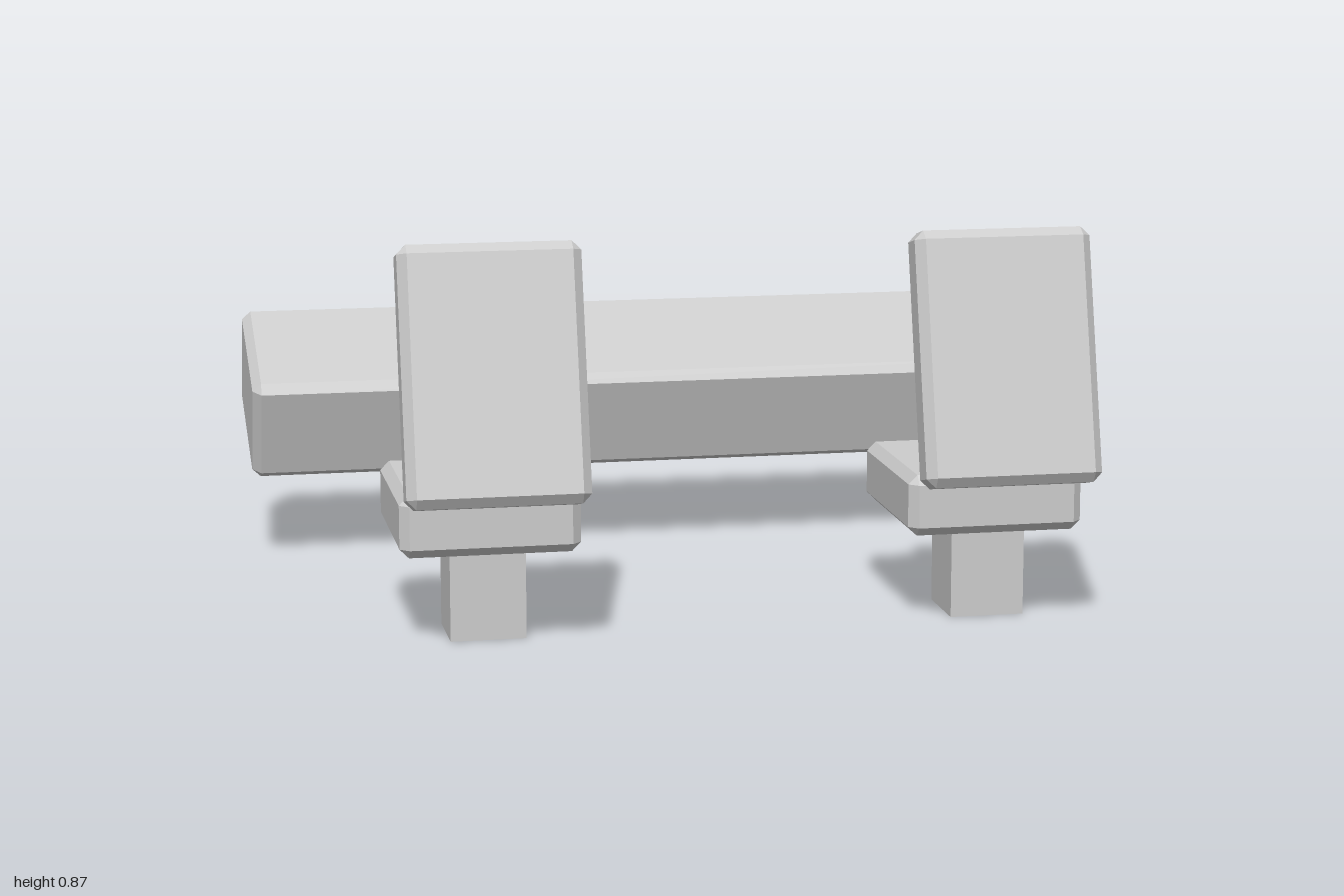
import * as THREE from 'three';
import { ConvexGeometry } from 'three/addons/geometries/ConvexGeometry.js';

// Box with all edges cut by a flat chamfer
function chamferBox(w, h, d, c) {
  const points = [];
  for (const x of [-1, 1]) for (const y of [-1, 1]) for (const z of [-1, 1]) {
    for (const [a, b, e] of [[0, c, c], [c, 0, c], [c, c, 0]]) {
      points.push(new THREE.Vector3(x * (w / 2 - a), y * (h / 2 - b), z * (d / 2 - e)));
    }
  }
  return new ConvexGeometry(points);
}

export function createModel() {
  const model = new THREE.Group();
  model.name = 'consoleWithSeats';
  const grey = new THREE.MeshStandardMaterial({ color: 0xcccccc });
  grey.name = 'light grey';

  function add(parent, name, geometry, x, y, z, tilt = 0) {
    const mesh = new THREE.Mesh(geometry, grey);
    mesh.name = name;
    mesh.position.set(x, y, z);
    mesh.rotation.x = THREE.MathUtils.degToRad(tilt);
    parent.add(mesh);
  }

  // Long console, tilted towards the front
  add(model, 'console', chamferBox(2, 0.252, 0.386, 0.02), 0, 0.378, -0.488, 20);

  // Two seats, each with a post, a cushion and a leaning backrest
  const post = new THREE.BoxGeometry(0.165, 0.2, 0.165);
  const cushion = chamferBox(0.39, 0.135, 0.415, 0.02);
  const backrest = chamferBox(0.39, 0.553, 0.095, 0.02);
  for (const side of [-1, 1]) {
    const chair = new THREE.Group();
    chair.name = side > 0 ? 'leftChair' : 'rightChair';
    chair.position.x = side * 0.556;
    add(chair, 'post', post, 0, 0.1, 0.403);
    add(chair, 'cushion', cushion, 0, 0.2675, 0.347);
    add(chair, 'backrest', backrest, 0, 0.6, 0.597, -14);
    model.add(chair);
  }
  return model;
}
